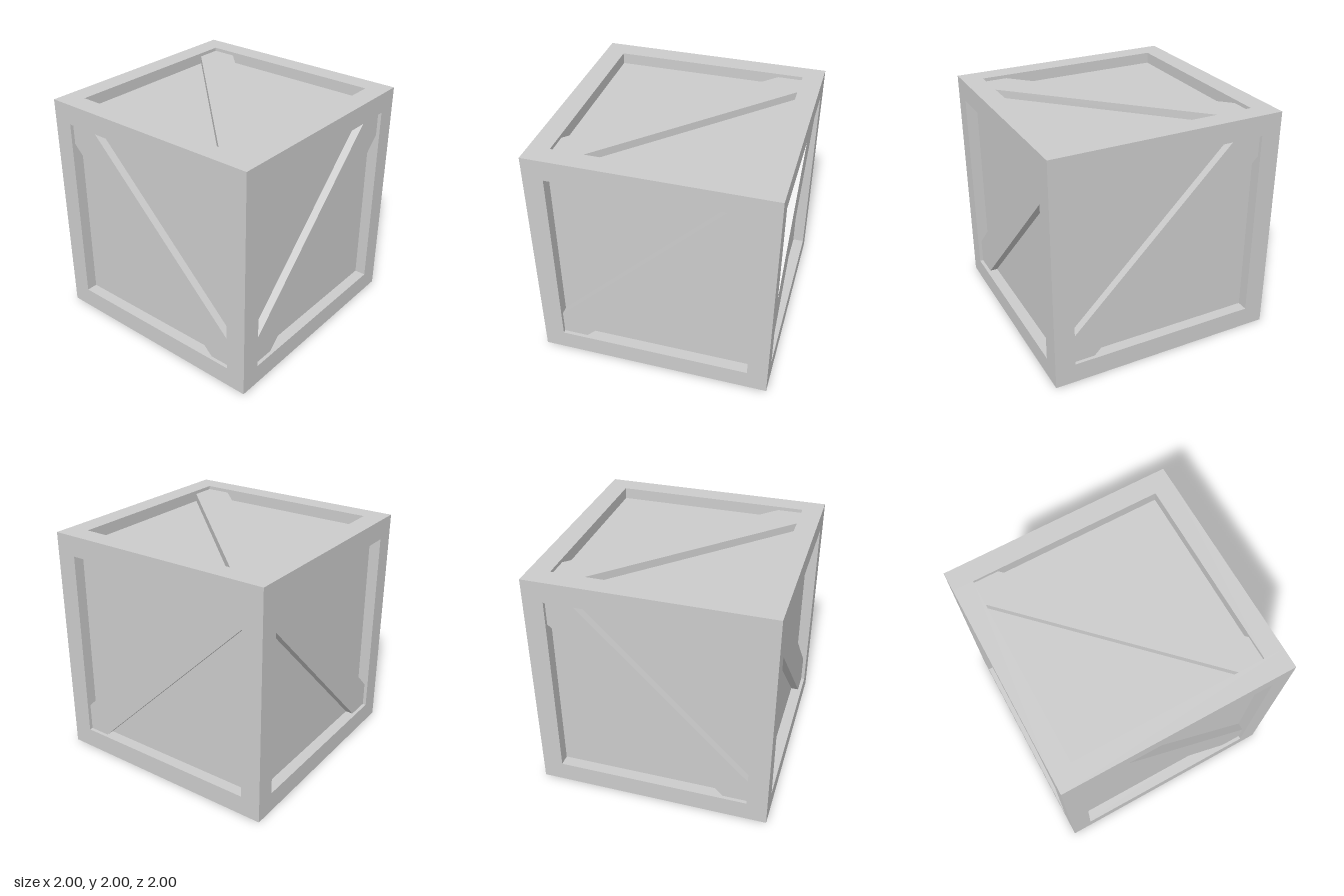
import * as THREE from 'three';

const OPEN = 0.826;          // half width of each opening
const BEAM = 1 - OPEN;       // frame beam thickness
const CORE = 0.903;          // recessed panel distance from the centre
const BRACE = 0.97;          // brace surface distance from the centre

const material = new THREE.MeshStandardMaterial({ color: 0xcccccc, flatShading: true });

function part(name, geometry) {
  const mesh = new THREE.Mesh(geometry, material);
  mesh.name = name;
  return mesh;
}

// Diagonal strip lo < u + v < hi, cut to the corners of the opening
function braceGeometry(lo, hi, mirrored) {
  const h = OPEN, s = mirrored ? -1 : 1;
  const outline = [
    [-h, h], [-h, lo + h], [lo + h, -h],
    [h, -h], [h, hi - h], [hi - h, h],
  ].map(([u, v]) => new THREE.Vector2(s * u, v));
  const depth = BRACE - CORE + 0.01;
  const geometry = new THREE.ExtrudeGeometry(new THREE.Shape(outline), { depth, bevelEnabled: false });
  return geometry.translate(0, 0, BRACE - depth);
}

export function createModel() {
  const crate = new THREE.Group();
  crate.name = 'crate';
  const body = new THREE.Group();
  body.name = 'crateBody';
  body.position.y = 1;
  crate.add(body);

  // Recessed panels of all six sides
  body.add(part('panels', new THREE.BoxGeometry(2 * CORE, 2 * CORE, 2 * CORE)));

  // Twelve frame beams: those along x run full length, the others butt together
  const mid = 1 - BEAM / 2;
  for (const a of [-mid, mid]) {
    for (const b of [-mid, mid]) {
      const alongX = part('beamAcross', new THREE.BoxGeometry(2, BEAM, BEAM));
      alongX.position.set(0, a, b);
      const alongY = part('beamUpright', new THREE.BoxGeometry(BEAM, 2 * OPEN, BEAM));
      alongY.position.set(a, 0, b);
      const alongZ = part('beamDeep', new THREE.BoxGeometry(BEAM, BEAM, 2 * OPEN));
      alongZ.position.set(a, b, 0);
      body.add(alongX, alongY, alongZ);
    }
  }

  // One diagonal brace per side: name, x turn, y turn, mirrored, strip limits
  const q = Math.PI / 2;
  const sides = [
    ['frontBrace', 0, 0, false, -0.185, 0.24],
    ['backBrace', 0, 2 * q, true, -0.185, 0.24],
    ['rightBrace', 0, q, true, -0.213, 0.213],
    ['leftBrace', 0, -q, false, -0.213, 0.213],
    ['topBrace', -q, 0, false, -0.213, 0.213],
    ['bottomBrace', q, 0, true, -0.213, 0.213],
  ];
  for (const [name, rx, ry, mirrored, lo, hi] of sides) {
    const brace = part(name, braceGeometry(lo, hi, mirrored));
    brace.rotation.set(rx, ry, 0);
    body.add(brace);
  }
  return crate;
}
